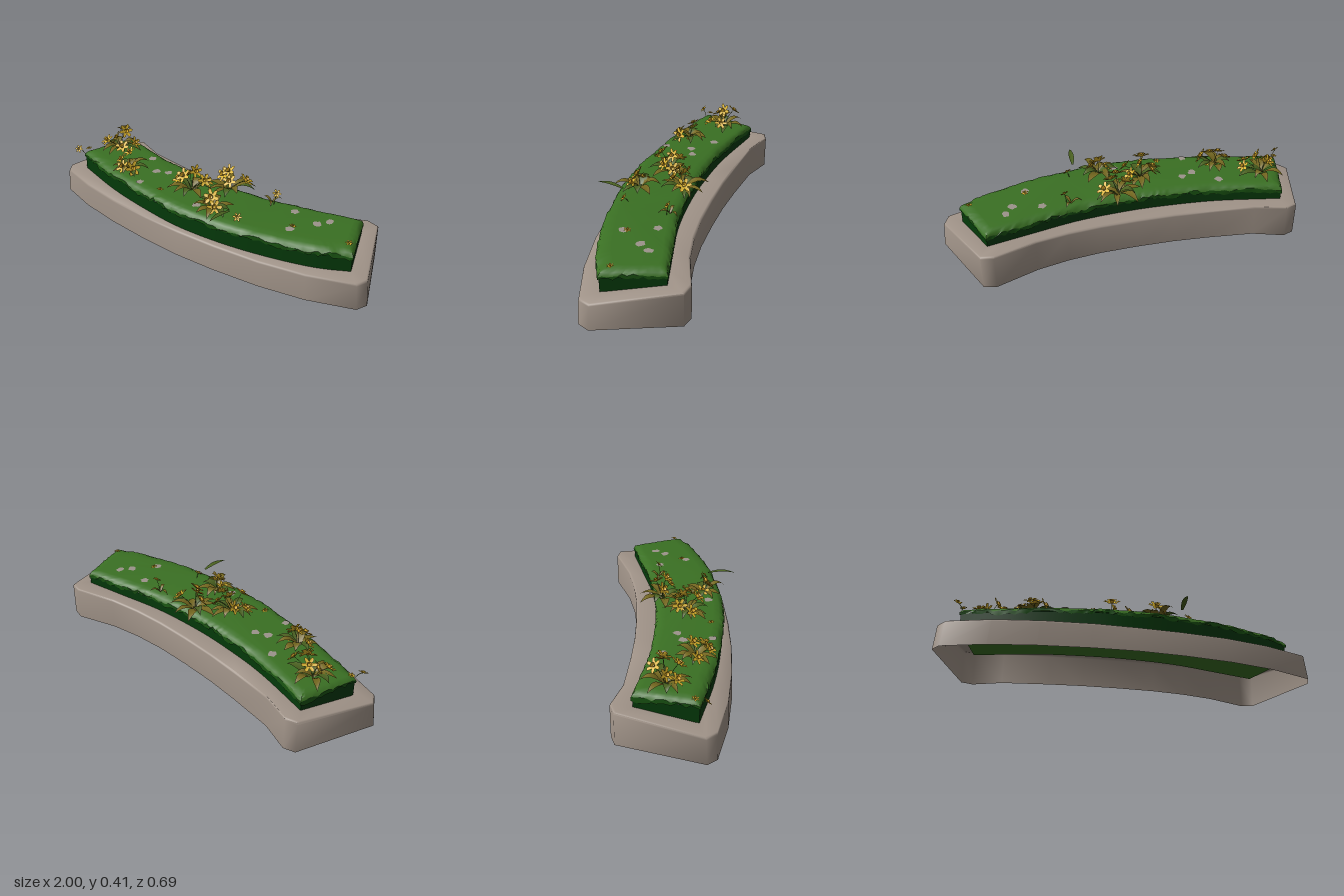
import * as THREE from 'three';
import { toCreasedNormals } from 'three/addons/utils/BufferGeometryUtils.js';

const mat = (name, color) => {
  const m = new THREE.MeshStandardMaterial({ color, side: THREE.DoubleSide });
  m.name = name;
  return m;
};

export function createModel() {
  const root = new THREE.Group();
  const stone = mat('stone', 0xa09388);
  const hedge = mat('dark green', 0x043a0a);
  const fringe = mat('fringe green', 0x1a5512);
  const grass = mat('grass green', 0x3a7023);
  const olive = mat('olive leaf', 0x75681f);
  const leafGreen = mat('green leaf', 0x4a611f);
  const yellow = mat('petal yellow', 0xdab32c);
  const amber = mat('trumpet amber', 0xd6a526);
  const grey = mat('pebble grey', 0x9c938b);

  let seed = 7;
  const rnd = () => (seed = (seed * 16807) % 2147483647) / 2147483647;
  const add = (name, geo, material, parent = root) => {
    const m = new THREE.Mesh(geo, material);
    m.name = name;
    parent.add(m);
    return m;
  };
  const geometry = (pos, index) => {
    const g = new THREE.BufferGeometry();
    g.setAttribute('position', new THREE.Float32BufferAttribute(pos, 3));
    g.setIndex(index);
    g.computeVertexNormals();
    return g;
  };

  // Skin between closed rings of points, with an optional cap on the last or first ring
  function loft(rings, crease, capTop = false, capBottom = false) {
    const n = rings[0].length, index = [];
    for (let r = 0; r < rings.length - 1; r++) for (let i = 0; i < n; i++) {
      const a = r * n + i, b = r * n + (i + 1) % n;
      index.push(a, b, b + n, a, b + n, a + n);
    }
    const cap = (r, flip) => {
      const flat = rings[r].map(p => new THREE.Vector2(p.x, -p.z));
      for (const [a, b, c] of THREE.ShapeUtils.triangulateShape(flat, []))
        index.push(r * n + a, r * n + (flip ? c : b), r * n + (flip ? b : c));
    };
    if (capTop) cap(rings.length - 1, false);
    if (capBottom) cap(0, true);
    return toCreasedNormals(geometry(rings.flat().flatMap(p => [p.x, p.y, p.z]), index), crease);
  }

  // Curved bed outline, seen from above
  const curve = pts => new THREE.CatmullRomCurve3(pts.map(([x, z]) => new THREE.Vector3(x, 0, z)));
  const bedFront = curve([[-.88, .09], [-.56, .18], [-.24, .235], [0, .255], [.35, .225], [.71, .135], [.89, .05]]);
  const bedBack = curve([[-.8, -.21], [-.45, -.13], [-.2, -.105], [0, -.1], [.3, -.125], [.56, -.185], [.785, -.24]]);
  const bedPoint = (u, v) => bedFront.getPoint(u).lerp(bedBack.getPoint(u), v);

  // Stone kerb: open underneath, rim rising toward the back
  const front = [[-1, .12], [-.965, .17], [-.74, .235], [-.5, .273], [-.24, .296], [0, .304], [.24, .292], [.5, .263], [.74, .213], [.975, .125], [1, .065]];
  const back = [[-.855, -.295], [-.795, -.315], [-.635, -.26], [-.39, -.232], [-.2, -.217], [0, -.213], [.2, -.217], [.375, -.235], [.545, -.27], [.765, -.35], [.83, -.335]];
  const outer = [...front, ...back.slice().reverse()].map(([x, z]) => new THREE.Vector3(x, 0, z));
  const inner = outer.map((_, i) => i < 11 ? bedPoint(i / 10, .06) : bedPoint((21 - i) / 10, .94));
  const rimY = z => .14 + Math.max(0, .06 - z) * .125;
  const kerbRing = (inset, drop, batter) => outer.map((p, i) => {
    const q = p.clone().add(inner[i].clone().sub(p).setLength(inset + (i < 11 ? batter : 0)));
    q.y = rimY(q.z) - drop;
    return q;
  });
  add('stoneKerb', loft([outer, kerbRing(.001, .012, .012), kerbRing(.004, .004, .012), kerbRing(.014, 0, .01),
    inner.map(p => p.clone().setY(rimY(p.z)))], 1), stone);

  // Rings around the bed; inset < 0 grows outward, noise roughens the edge
  const N = 70, M = 14;
  function bedRing(y, inset, noiseY = 0, noiseXZ = 0) {
    const uv = [], a = inset / 1.8, b = inset / .35;
    for (let i = 0; i < N; i++) uv.push([i / N, 0]);
    for (let i = 0; i < M; i++) uv.push([1, i / M]);
    for (let i = 0; i < N; i++) uv.push([1 - i / N, 1]);
    for (let i = 0; i < M; i++) uv.push([0, 1 - i / M]);
    return uv.map(([u, v]) => {
      const p = bedPoint(u, b + v * (1 - 2 * b) + (rnd() - .5) * noiseXZ);
      p.x *= 1 - a * 2;
      p.y = y + (rnd() - .5) * noiseY + noiseY * .35 * Math.sin(u * 37 + v * 5);
      return p;
    });
  }
  add('bedUnderside', loft([bedRing(.13, 0)], .6, false, true), grass);
  add('hedgeBlock', loft([bedRing(.13, 0), bedRing(.225, 0), bedRing(.235, .015)], .6, true), hedge);
  const edge = bedRing(.233, -.005, .016, .02);
  add('grassFringe', loft([bedRing(.216, -.005, .02, .02), edge], .6), fringe);
  add('grassTop', loft([edge, bedRing(.247, .004, .005, .01), bedRing(.256, .022, .002), bedRing(.259, .05)], .9, true), grass);

  // Ragged pebbles lying on the grass
  for (const [x, z] of [[-.49, -.07], [-.37, .03], [-.305, .005], [-.36, .18], [.48, -.08], [.67, -.105], [.63, -.05], [.55, .075], [.04, .18]]) {
    const outline = Array.from({ length: 12 }, (_, i) => {
      const r = .017 + rnd() * .01, t = i * Math.PI / 6;
      return new THREE.Vector2(r * Math.cos(t), r * Math.sin(t));
    });
    const m = add('pebble', new THREE.ShapeGeometry(new THREE.Shape(outline)), grey);
    m.rotation.x = -Math.PI / 2;
    m.position.set(x, .2615, z);
  }

  // Six broad cupped petals with a short trumpet, facing +z at unit size
  const starPos = [0, 0, 0], starIndex = [];
  for (let i = 0; i < 24; i++) {
    const r = [1, .82, .42, .82][i % 4], a = i * Math.PI / 12;
    starPos.push(r * Math.cos(a), r * Math.sin(a), [.22, .3, .14, .3][i % 4]);
    starIndex.push(0, i + 1, (i + 1) % 24 + 1);
  }
  const star = geometry(starPos, starIndex);
  const trumpet = new THREE.CylinderGeometry(.3, .16, .42, 8, 1, true);
  trumpet.rotateX(Math.PI / 2);
  trumpet.translate(0, 0, .24);

  function flower(x, y, z, size, yaw, tilt) {
    const head = new THREE.Group();
    head.name = 'flower';
    add('petals', star, yellow, head);
    add('trumpet', trumpet, amber, head);
    head.scale.setScalar(size);
    head.position.set(x, y, z);
    head.rotation.set(tilt, yaw, 0, 'YXZ');
    root.add(head);
  }
  function stem(from, to) {
    const mid = from.clone().lerp(to, .6).add(new THREE.Vector3((from.x - to.x) * .2, .01, (from.z - to.z) * .2));
    add('stem', new THREE.TubeGeometry(new THREE.QuadraticBezierCurve3(from, mid, to), 5, .0015, 4), leafGreen);
  }

  // Arching pointed blade with a folded midrib
  function blade(x, y, z, length, rise, width, yaw, material) {
    const pos = [], index = [], S = 6;
    for (let i = 0; i <= S; i++) {
      const t = i / S, w = width * Math.sin(Math.PI * (.12 + .88 * t)) * .5;
      const h = rise * Math.sin(t * 2.7);
      pos.push(length * t, h + w * .25, -w, length * t, h, 0, length * t, h + w * .25, w);
      if (i < S) for (let k = 0; k < 2; k++) {
        const a = i * 3 + k;
        index.push(a, a + 1, a + 4, a, a + 4, a + 3);
      }
    }
    const m = add('leaf', geometry(pos, index).scale(1, 1, 1), material);
    m.position.set(x, y, z);
    m.rotation.y = yaw;
  }

  // Clumps: centre x, z, leaf count, leaf length, then flower positions
  const clumps = [
    [-.74, -.06, 9, .12, [[-.75, .36, -.11], [-.7, .375, -.07], [-.79, .31, -.01], [-.66, .31, .0], [-.63, .32, -.07], [-.76, .32, -.06]]],
    [-.52, .09, 9, .11, [[-.58, .29, .09], [-.53, .345, .07], [-.46, .29, .13], [-.51, .29, .15]]],
    [-.09, .06, 10, .125, [[-.16, .3, .08], [-.08, .36, .04], [-.02, .31, .02], [-.1, .355, .11], [0, .34, .06], [-.13, .32, .02]]],
    [.07, -.07, 10, .125, [[.03, .33, -.07], [.15, .32, -.1], [.08, .375, -.05], [.1, .33, -.03]]],
    [.13, .15, 9, .11, [[.13, .33, .16], [.09, .29, .15], [.16, .29, .18]]],
  ];
  for (const [cx, cz, count, length, heads] of clumps) {
    for (let i = 0; i < count; i++)
      blade(cx + (rnd() - .5) * .03, .257, cz + (rnd() - .5) * .03, length * (.75 + rnd() * .4), .02 + rnd() * .025,
        .034 + rnd() * .014, (i + rnd() * .6) / count * Math.PI * 2, i % 4 ? olive : leafGreen);
    for (const [x, y, z] of heads) {
      stem(new THREE.Vector3(cx, .25, cz), new THREE.Vector3(x, y, z));
      flower(x, y, z, .037 + rnd() * .01, Math.atan2(x - cx, z - cz + .03) + (rnd() - .5), -.3 - rnd() * .7);
    }
  }

  // Lone small blooms: some on stems, some lying on the grass
  for (const [x, y, z] of [[.36, .32, -.09], [-.9, .27, .12], [.3, .28, .17]]) {
    stem(new THREE.Vector3(x * .97, .24, z * .85), new THREE.Vector3(x, y, z));
    flower(x, y, z, .025, .4, -.7);
  }
  for (const [x, z] of [[.55, .05], [.845, .01], [-.21, .18], [-.87, .07], [-.47, .08]])
    flower(x, .264, z, .02, rnd() * 6, -1.4);
  for (let i = 0; i < 3; i++) blade(.33, .257, -.09, .06, .025, .018, 1 + i * 2.1, olive);

  // Loose leaf arching out past the front edge
  blade(.265, .312, .19, .15, .014, .028, -1.65, leafGreen);
  return root;
}
